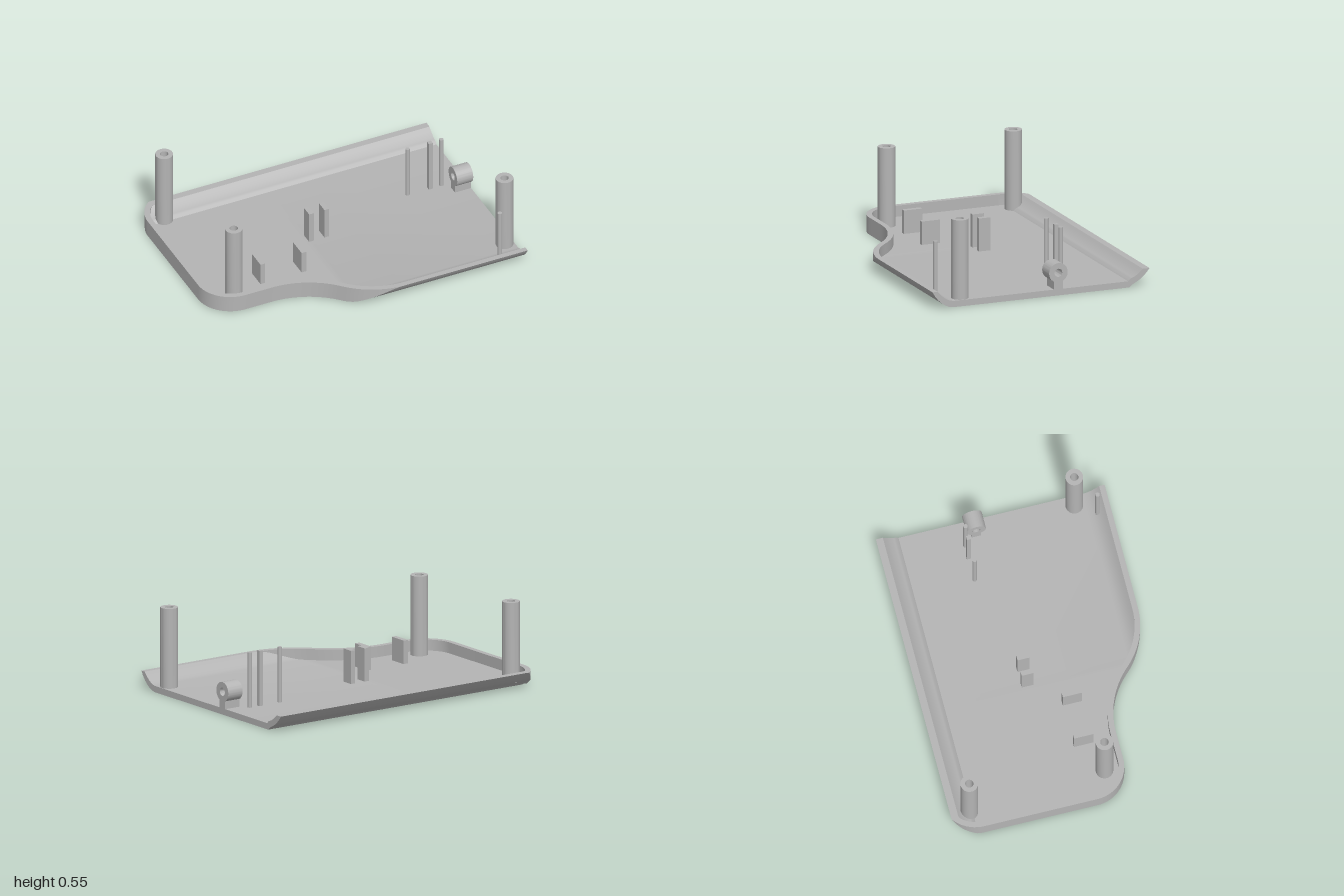
import * as THREE from 'three';
import { toCreasedNormals } from 'three/addons/utils/BufferGeometryUtils.js';

const { sqrt, max, min, cos, PI } = Math;
const RIM = 0.11, WALL = 0.035, FLOOR = 0.04;

// Tray cross-section as [z, y] points: underside and inner surface
const UNDER = [[-0.735, 0.11], [-0.71, 0.08], [-0.68, 0.052], [-0.65, 0.033], [-0.62, 0.018], [-0.6, 0],
  [0.59, 0], [0.62, 0.006], [0.645, 0.018], [0.67, 0.036], [0.69, 0.054], [0.71, 0.078], [0.729, 0.11]];
const INNER = [[-0.69, 0.11], [-0.665, 0.087], [-0.635, 0.067], [-0.605, 0.055], [-0.59, FLOOR],
  [0.59, FLOOR], [0.62, 0.048], [0.645, 0.062], [0.67, 0.083], [0.694, 0.11]];
const FLOOR_Z = [...UNDER, ...INNER].map((p) => p[0]).sort((a, b) => a - b);

function heightAt(points, z) {
  if (z <= points[0][0]) return points[0][1];
  for (let i = 1; i < points.length; i++) {
    const [z0, y0] = points[i - 1], [z1, y1] = points[i];
    if (z <= z1) return y0 + (y1 - y0) * (z - z0) / (z1 - z0);
  }
  return points[points.length - 1][1];
}

// Plan outline, moved inward by t
const arc = (r, d) => sqrt(max(0, r * r - d * d));
function frontEdge(x, t) {
  if (x < -0.78) return 0.175 + arc(0.22 - t, x + 0.78);
  if (x < -0.6) return 0.395 - t;
  if (x < -0.6 + (0.545 + t) * 0.733) return 0.94 - arc(0.545 + t, x + 0.6);
  if (x < 0.166) return 0.229 + arc(0.5 - t, x - 0.166);
  return 0.729 - t;
}
function backEdge(x, t) {
  const limit = t ? -0.69 : -0.735;
  return x < -0.77 ? max(limit, -0.55 - arc(0.23 - t, x + 0.77)) : limit;
}

// One section across the tray: columns of [z, top, bottom]
function section(x, solid) {
  const zb = backEdge(x, 0), zf = frontEdge(x, 0);
  const ib = max(zb, backEdge(x, WALL)), jf = min(zf, frontEdge(x, WALL));
  const columns = [];
  const add = (z, top) => columns.push([z, top, heightAt(UNDER, z)]);
  for (let i = 0; i <= 4; i++) add(zb + (ib - zb) * i / 4, RIM);
  for (const s of [-1, ...FLOOR_Z, 1]) {
    const z = min(jf, max(ib, s));
    add(z, solid ? RIM : heightAt(INNER, z));
  }
  for (let i = 0; i <= 4; i++) add(jf + (zf - jf) * i / 4, RIM);
  return { x, columns };
}

function trayGeometry() {
  const sections = [];
  for (let i = 0; i <= 6; i++) sections.push(section(-1 + WALL * (i / 6) ** 2, true));
  for (let i = 0; i <= 14; i++) sections.push(section(-1 + WALL + 0.185 * (1 - cos(i / 14 * PI / 2)), false));
  for (let i = 1; i <= 6; i++) sections.push(section(-0.78 + 0.03 * i, false));
  for (let i = 1; i <= 32; i++) sections.push(section(-0.6 + 0.766 * i / 32, false));
  sections.push(section(1, false));

  const pos = [];
  const point = (j, i, k) => new THREE.Vector3(sections[j].x, sections[j].columns[i][k], sections[j].columns[i][0]);
  const tri = (a, b, c) => {
    const area = b.clone().sub(a).cross(c.clone().sub(a)).length();
    if (area > 1e-9) for (const p of [a, b, c]) pos.push(p.x, p.y, p.z);
  };
  const quad = (a, b, c, d) => { tri(a, b, c); tri(a, c, d); };
  const last = sections[0].columns.length - 1, end = sections.length - 1;
  for (let j = 0; j < end; j++) {
    for (let i = 0; i < last; i++) {
      quad(point(j, i, 1), point(j, i + 1, 1), point(j + 1, i + 1, 1), point(j + 1, i, 1));
      quad(point(j, i, 2), point(j + 1, i, 2), point(j + 1, i + 1, 2), point(j, i + 1, 2));
    }
    // Outer walls, front and back
    quad(point(j, last, 2), point(j + 1, last, 2), point(j + 1, last, 1), point(j, last, 1));
    quad(point(j, 0, 2), point(j, 0, 1), point(j + 1, 0, 1), point(j + 1, 0, 2));
  }
  // End faces
  for (let i = 0; i < last; i++) {
    quad(point(end, i, 2), point(end, i, 1), point(end, i + 1, 1), point(end, i + 1, 2));
    quad(point(0, i, 2), point(0, i + 1, 2), point(0, i + 1, 1), point(0, i, 1));
  }
  const geo = new THREE.BufferGeometry();
  geo.setAttribute('position', new THREE.Float32BufferAttribute(pos, 3));
  return toCreasedNormals(geo, 0.5);
}

export function createModel() {
  const group = new THREE.Group();
  const grey = new THREE.MeshStandardMaterial({ color: 0xb4b4b4 });
  grey.name = 'plastic grey';
  const add = (name, geo, x = 0, y = 0, z = 0) => {
    const mesh = new THREE.Mesh(geo, grey);
    mesh.name = name;
    mesh.position.set(x, y, z);
    group.add(mesh);
  };

  add('tray', trayGeometry());

  // Hollow screw posts
  const ring = [[0.026, FLOOR], [0.055, FLOOR], [0.055, 0.55], [0.026, 0.55], [0.026, FLOOR]];
  const post = toCreasedNormals(new THREE.LatheGeometry(ring.map(([r, y]) => new THREE.Vector2(r, y)), 40), 0.5);
  for (const [x, z] of [[-0.86, -0.61], [-0.8, 0.27], [0.94, 0.52]]) add('screwPost', post, x, 0, z);

  // Slim locating pins
  const pinHeight = 0.393 - 0.03, pinY = 0.03 + pinHeight / 2;
  for (const [x, z] of [[0.617, -0.2], [0.848, -0.2], [0.848, 0.645]]) {
    add('roundPin', new THREE.CylinderGeometry(0.014, 0.014, pinHeight, 20), x, pinY, z);
  }
  add('squarePin', new THREE.BoxGeometry(0.027, pinHeight, 0.027), 0.77, pinY, -0.2);

  // Upright support plates: x, z, depth, top
  for (const [x, z, depth, top] of [[-0.59, 0.187, 0.124, 0.19], [-0.308, 0.187, 0.124, 0.19],
    [-0.13, -0.055, 0.076, 0.252], [-0.025, -0.055, 0.076, 0.252]]) {
    add('supportPlate', new THREE.BoxGeometry(0.032, top - 0.03, depth), x, (top + 0.03) / 2, z);
  }

  // Eyelet bracket on the open edge
  const eye = new THREE.Shape();
  eye.moveTo(0.09, 0.03);
  eye.lineTo(0.15, 0.03);
  eye.absarc(0.12, 0.145, 0.0625, -PI / 2 + 0.5, PI * 1.5 - 0.5, false);
  eye.closePath();
  eye.holes.push(new THREE.Path().absarc(0.12, 0.145, 0.026, 0, PI * 2, true));
  const bracket = new THREE.ExtrudeGeometry(eye, { depth: 0.11, bevelEnabled: false, curveSegments: 32 });
  bracket.rotateY(PI / 2);
  add('eyeletBracket', toCreasedNormals(bracket, 0.5), 0.89, 0, 0);

  return group;
}
